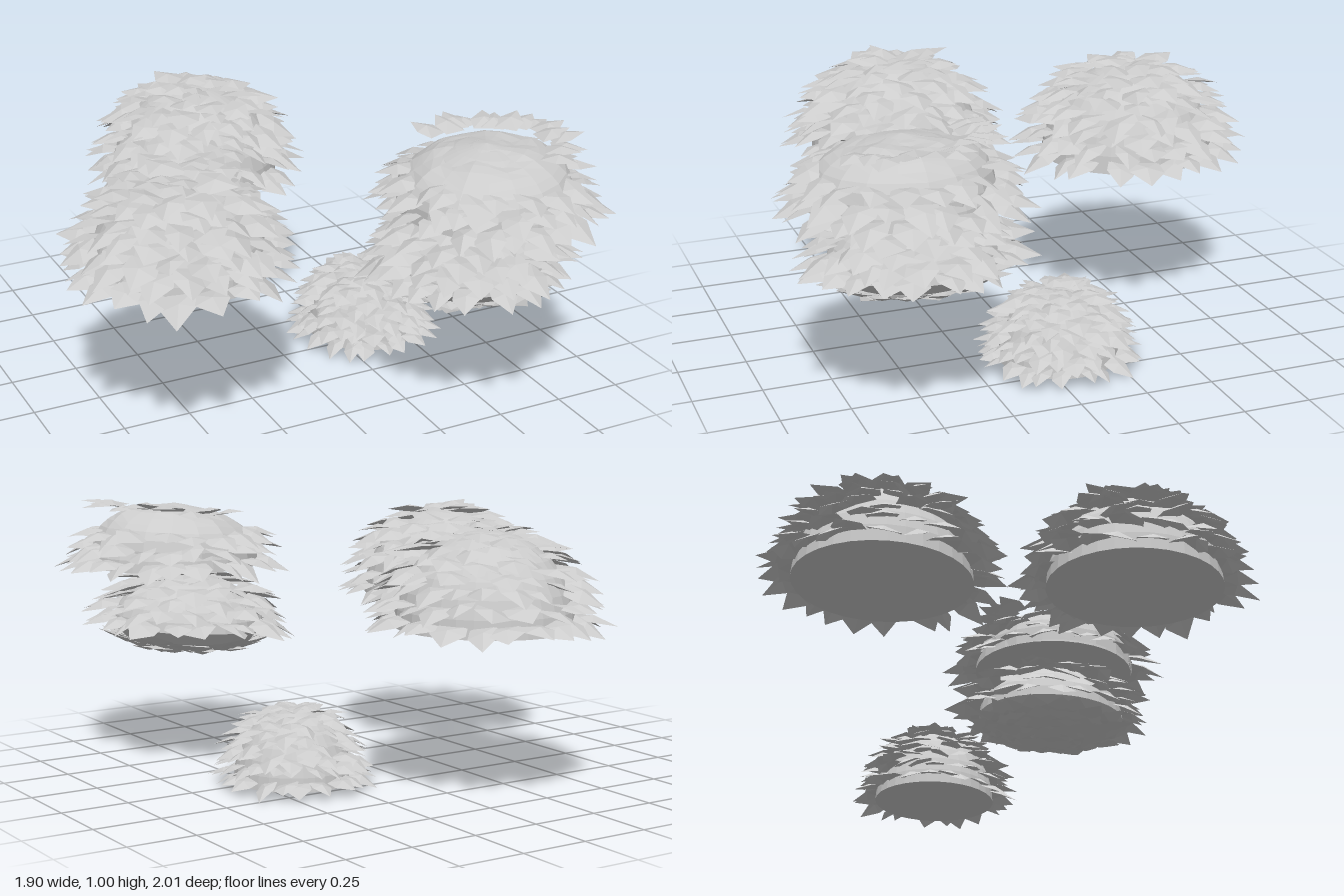
import * as THREE from 'three';

const grey = new THREE.MeshStandardMaterial({ color: 0xcccccc, flatShading: true, side: THREE.DoubleSide });

// Small seeded random source, returns -1..1
function seeded(seed) {
  let s = seed;
  return () => {
    s = (s * 16807) % 2147483647;
    return (s / 2147483647) * 2 - 1;
  };
}

// One folded, pointed scale: root, two shoulders, raised ridge and tip
function addScale(out, root, dir, side, lift, length, width) {
  const at = (l, w, h) => root.clone()
    .addScaledVector(dir, l * length).addScaledVector(side, w * width).addScaledVector(lift, h * length);
  const a = at(0, -0.42, 0), b = at(0, 0.42, 0);
  const l = at(0.46, -0.5, 0.02), r = at(0.46, 0.5, 0.02);
  const ridge = at(0.42, 0, 0.13), tip = at(1, 0, 0);
  const faces = [[a, b, ridge], [b, r, ridge], [r, tip, ridge], [tip, l, ridge], [l, a, ridge]];
  for (const f of faces) for (const p of f) out.push(p.x, p.y, p.z);
}

function fromTriangles(out) {
  const g = new THREE.BufferGeometry();
  g.setAttribute('position', new THREE.Float32BufferAttribute(out, 3));
  g.computeVertexNormals();
  return g;
}

// Rings of overlapping scales on a dome of core radius R and height H
function scales({ R, H, rows, length, width, seed, keep = () => true }) {
  const rnd = seeded(seed), out = [];
  const up = new THREE.Vector3(0, 1, 0);
  for (let i = 0; i < rows; i++) {
    const ringAngle = (0.05 + 0.93 * i / (rows - 1)) * Math.PI / 2;
    const count = Math.max(4, Math.round(2 * Math.PI * R * Math.cos(ringAngle) / (width * 0.78)));
    for (let j = 0; j < count; j++) {
      const phi = (j + (i % 2) * 0.5 + rnd() * 0.3) / count * Math.PI * 2;
      if (!keep(i / (rows - 1), phi)) continue;
      // stagger the scales so that the rings do not read as bands
      const a = ringAngle + (i > 0 ? rnd() * 0.05 : 0);
      const radial = new THREE.Vector3(Math.cos(phi), 0, Math.sin(phi));
      const side = new THREE.Vector3(-Math.sin(phi), 0, Math.cos(phi))
        .addScaledVector(up, rnd() * 0.35).normalize();
      const slope = -0.42 * Math.cos(a) + 0.1 + rnd() * 0.16;
      const dir = radial.clone().addScaledVector(up, slope).addScaledVector(side, rnd() * 0.15).normalize();
      const lift = up.clone().addScaledVector(radial, 0.4).normalize();
      const root = radial.clone().multiplyScalar(R * Math.cos(a) * 0.94);
      root.y = H * Math.sin(a) * 0.98 + length * 0.12 * Math.cos(a);
      addScale(out, root, dir, side, lift, length * (1 + rnd() * 0.18), width * (1 + rnd() * 0.18));
    }
  }
  return fromTriangles(out);
}

// Closed dome body; bowl gives the depth of a rounded underside (0 = flat)
function core(R, H, bowl = 0) {
  const pts = [new THREE.Vector2(0, -bowl)];
  if (bowl) pts.push(new THREE.Vector2(R * 0.5, -bowl * 0.88), new THREE.Vector2(R * 0.83, -bowl * 0.5));
  for (let i = 0; i <= 8; i++) {
    const a = i / 8 * Math.PI / 2;
    pts.push(new THREE.Vector2(i === 8 ? 0 : R * Math.cos(a), H * Math.sin(a)));
  }
  return new THREE.LatheGeometry(pts, 32);
}

function mesh(name, geometry) {
  const m = new THREE.Mesh(geometry, grey);
  m.name = name;
  return m;
}

function scalyDome(name, [x, y, z], o) {
  const g = new THREE.Group();
  g.name = name;
  g.add(mesh('domeBody', core(o.R, o.H, o.bowl)), mesh('domeScales', scales(o)));
  g.position.set(x, y, z);
  g.scale.x = 0.95;
  return g;
}

// Bare cap: a swollen, flat-topped, uneven crown, higher towards +x
function bareCap() {
  const g = new THREE.SphereGeometry(1, 18, 10, 0, Math.PI * 2, 0, Math.PI / 2);
  const p = g.attributes.position;
  for (let i = 0; i < p.count; i++) {
    const x = p.getX(i), y = Math.max(0, p.getY(i)), z = p.getZ(i);
    const bump = 0.01 * Math.sin(9 * x + 2) * Math.cos(8 * z);
    p.setXYZ(i, x * 0.33 - 0.015, Math.pow(y, 0.62) * (0.222 + 0.03 * x) + bump * y, z * 0.32);
  }
  g.computeVertexNormals();
  return g;
}

// Loose scales in an arc along the rim of the bare cap
function capFringe() {
  const out = [], rnd = seeded(91);
  const up = new THREE.Vector3(0, 1, 0);
  for (let i = 0; i < 15; i++) {
    const phi = -1.9 + i * 0.2 + rnd() * 0.06;
    const radial = new THREE.Vector3(Math.cos(phi), 0, Math.sin(phi));
    const side = new THREE.Vector3(-Math.sin(phi), 0, Math.cos(phi));
    const root = radial.clone().multiplyScalar(0.2 + rnd() * 0.03);
    root.y = 0.205 + 0.02 * Math.cos(phi);
    const dir = radial.clone().setY(0.05 + rnd() * 0.2).normalize();
    addScale(out, root, dir, side, up, 0.13, 0.1);
  }
  return fromTriangles(out);
}

// Overlapping plates on the rounded underside
function undersidePlates(R, depth) {
  const out = [], rnd = seeded(77);
  const down = new THREE.Vector3(0, -1, 0);
  for (let i = 0; i < 5; i++) {
    const k = 0.08 + i * 0.2, count = 5 + i * 4;
    for (let j = 0; j < count; j++) {
      const phi = (j + i * 0.5 + rnd() * 0.3) / count * Math.PI * 2;
      const radial = new THREE.Vector3(Math.cos(phi), 0, Math.sin(phi));
      const side = new THREE.Vector3(-Math.sin(phi), 0, Math.cos(phi));
      const root = radial.clone().multiplyScalar(R * k * 0.85);
      root.y = -depth * Math.sqrt(1 - k * k * 0.85);
      const dir = radial.clone().setY(0.05 + k * 0.2 + rnd() * 0.15).normalize();
      addScale(out, root, dir, side, down, 0.13, 0.11);
    }
  }
  return fromTriangles(out);
}

export function createModel() {
  const model = new THREE.Group();
  model.name = 'scalyDomeCluster';
  const big = { R: 0.325, H: 0.33, rows: 9, length: 0.145, width: 0.115 };

  // Flat-bottomed domes
  model.add(
    scalyDome('frontDome', [-0.525, 0.59, 0.255], { ...big, seed: 11 }),
    scalyDome('backDome', [-0.12, 0.59, -0.55], { ...big, R: 0.33, H: 0.34, seed: 23 }),
    scalyDome('lowDome', [0.375, 0.012, -0.07], { R: 0.222, H: 0.262, rows: 9, length: 0.105, width: 0.08, seed: 37 }),
  );

  // Stacked pair: round-bottomed dome below, bare-topped dome above
  const lower = scalyDome('lowerStackedDome', [0.485, 0.51, 0.515],
    { ...big, R: 0.295, H: 0.195, rows: 7, bowl: 0.09, seed: 51 });
  lower.add(mesh('undersidePlates', undersidePlates(0.295, 0.085)));
  lower.rotation.z = 0.05;

  const upper = scalyDome('upperStackedDome', [0.525, 0.74, 0.555], {
    ...big, R: 0.325, H: 0.225, rows: 7, seed: 67,
    keep: (t) => t < 0.45,
  });
  upper.add(mesh('bareCap', bareCap()), mesh('capFringe', capFringe()));
  model.add(lower, upper);
  return model;
}
